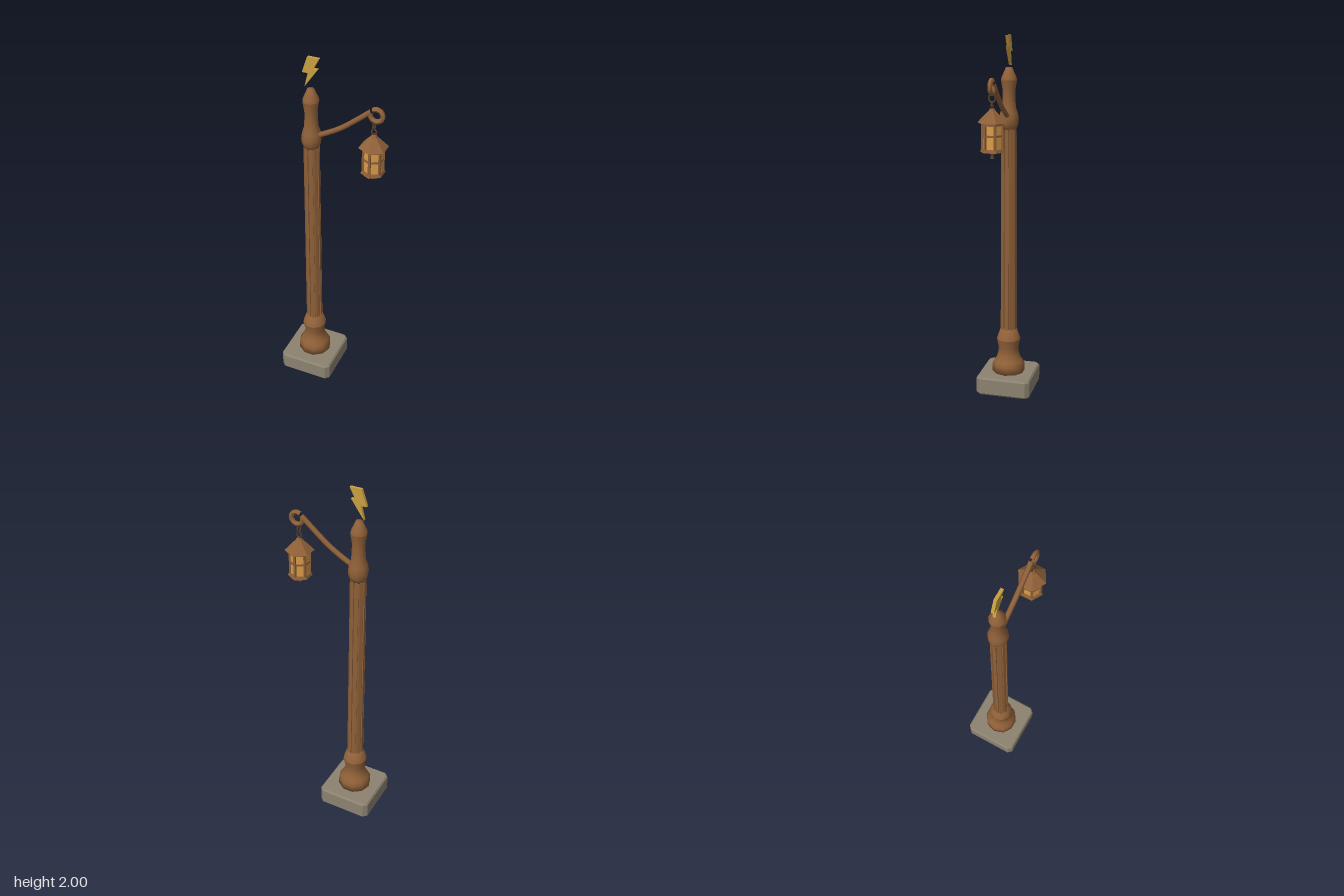
import * as THREE from 'three';

const mat = (name, color, extra = {}) => {
  const m = new THREE.MeshStandardMaterial({ color, ...extra });
  m.name = name;
  return m;
};

export function createModel() {
  const wood = mat('brown wood', 0x8f6038);
  const woodFlat = mat('brown faceted wood', 0x8f6038, { flatShading: true });
  const stone = mat('grey stone', 0x8c8270, { flatShading: true });
  const gold = mat('gold', 0xc89f40);
  const glass = mat('amber glass', 0xdb9d48, { flatShading: true });
  const iron = mat('dark iron', 0x54402e);

  const model = new THREE.Group();
  const add = (parent, name, geo, material, x = 0, y = 0, z = 0) => {
    const mesh = new THREE.Mesh(geo, material);
    mesh.name = name;
    mesh.position.set(x, y, z);
    parent.add(mesh);
    return mesh;
  };
  const polygon = (pts) => new THREE.Shape(pts.map(([x, y]) => new THREE.Vector2(x, y)));
  const POST_X = -0.127;

  // Stone plinth: square with cut corners and a small bevel
  const a = 0.146, b = 0.128;
  const plinthGeo = new THREE.ExtrudeGeometry(
    polygon([[a, -b], [a, b], [b, a], [-b, a], [-a, b], [-a, -b], [-b, -a], [b, -a]]),
    { depth: 0.085, bevelEnabled: true, bevelSize: 0.008, bevelThickness: 0.01, bevelSegments: 1 });
  plinthGeo.rotateX(-Math.PI / 2);
  add(model, 'plinth', plinthGeo, stone, POST_X, 0.01, 0);

  // Turned post parts, ten-sided with corners on the x axis
  const post = new THREE.Group();
  post.name = 'post';
  post.position.x = POST_X;
  model.add(post);
  const turned = (name, pts) => {
    const geo = new THREE.LatheGeometry(pts.map(([r, y]) => new THREE.Vector2(r, y)), 10);
    geo.rotateY(Math.PI / 2);
    add(post, name, geo, wood);
  };
  turned('foot', [[0, 0.1], [0.093, 0.1], [0.093, 0.148], [0.082, 0.168], [0.068, 0.19], [0.06, 0.215],
    [0.056, 0.245], [0.068, 0.3]]);
  turned('footCollar', [[0.068, 0.3], [0.045, 0.365], [0, 0.365]]);
  turned('shaft', [[0.042, 0.35], [0.038, 1.51]]);
  turned('knob', [[0, 1.5], [0.039, 1.5], [0.05, 1.53], [0.053, 1.56], [0.048, 1.59], [0.038, 1.62],
    [0.035, 1.66], [0.034, 1.71], [0.043, 1.765]]);
  turned('cap', [[0.043, 1.765], [0.04, 1.78], [0.017, 1.832], [0, 1.832]]);

  // Raised ribs leaving grooves along the shaft
  for (let i = 0; i < 10; i++) {
    const holder = new THREE.Group();
    holder.name = 'shaftRib';
    holder.rotation.y = i * Math.PI / 5;
    const rib = add(holder, 'rib', new THREE.BoxGeometry(0.01, 1.15, 0.017), wood, 0.038, 0.93, 0);
    rib.rotation.z = 0.0032;
    post.add(holder);
  }

  // Floating lightning bolt
  const boltGeo = new THREE.ExtrudeGeometry(
    polygon([[-0.14, 2], [-0.169, 1.915], [-0.138, 1.915], [-0.156, 1.842], [-0.085, 1.942],
      [-0.108, 1.942], [-0.077, 2]]), { depth: 0.016, bevelEnabled: false });
  add(model, 'lightningBolt', boltGeo, gold, 0, 0, -0.008);

  // Bracket arm rising to a curled end
  const V = (x, y) => new THREE.Vector3(x, y, 0);
  const armCurve = new THREE.CatmullRomCurve3(
    [V(-0.11, 1.57), V(-0.07, 1.588), V(0.03, 1.645), V(0.12, 1.715), V(0.195, 1.778)]);
  add(model, 'arm', new THREE.TubeGeometry(armCurve, 14, 0.014, 6), wood);
  const curlPts = [];
  for (let i = 0; i <= 12; i++) {
    const t = THREE.MathUtils.degToRad(125 - i * 27);
    curlPts.push(V(0.221 + 0.033 * Math.cos(t), 1.76 + 0.033 * Math.sin(t)));
  }
  add(model, 'armCurl', new THREE.TubeGeometry(new THREE.CatmullRomCurve3(curlPts), 16, 0.0125, 6), woodFlat);

  // Hanging lantern, six-sided with corners on the z axis
  const lantern = new THREE.Group();
  lantern.name = 'lantern';
  lantern.position.x = 0.211;
  model.add(lantern);
  const hex = (name, rTop, rBottom, y0, y1, material) =>
    add(lantern, name, new THREE.CylinderGeometry(rTop, rBottom, y1 - y0, 6), material, 0, (y0 + y1) / 2, 0);

  const link = add(lantern, 'upperLink', new THREE.TorusGeometry(0.017, 0.0045, 6, 12), iron, 0, 1.704, 0);
  link.rotation.y = Math.PI / 2;
  link.scale.y = 1.2;
  add(lantern, 'lowerLink', new THREE.TorusGeometry(0.013, 0.0045, 6, 12), iron, 0, 1.668, 0);
  hex('roofTop', 0.012, 0.02, 1.638, 1.652, woodFlat);
  hex('roof', 0.02, 0.077, 1.582, 1.64, woodFlat);
  hex('topRim', 0.058, 0.058, 1.568, 1.583, woodFlat);
  hex('glassPanes', 0.05, 0.05, 1.445, 1.572, glass);
  hex('bottomRim', 0.058, 0.064, 1.434, 1.45, woodFlat);
  hex('underside', 0.045, 0.018, 1.422, 1.435, woodFlat);
  hex('finial', 0.004, 0.012, 1.4, 1.424, iron);

  // Corner posts and middle bars of the lantern frame
  for (let i = 0; i < 6; i++) {
    const side = new THREE.Group();
    side.name = 'lanternFrame';
    side.rotation.y = i * Math.PI / 3;
    add(side, 'cornerPost', new THREE.BoxGeometry(0.012, 0.13, 0.012), wood, 0, 1.51, 0.051);
    const bar = add(side, 'middleBar', new THREE.BoxGeometry(0.052, 0.01, 0.008), wood,
      0.045 * Math.sin(Math.PI / 6), 1.517, 0.045 * Math.cos(Math.PI / 6));
    bar.rotation.y = Math.PI / 6;
    lantern.add(side);
  }
  return model;
}
